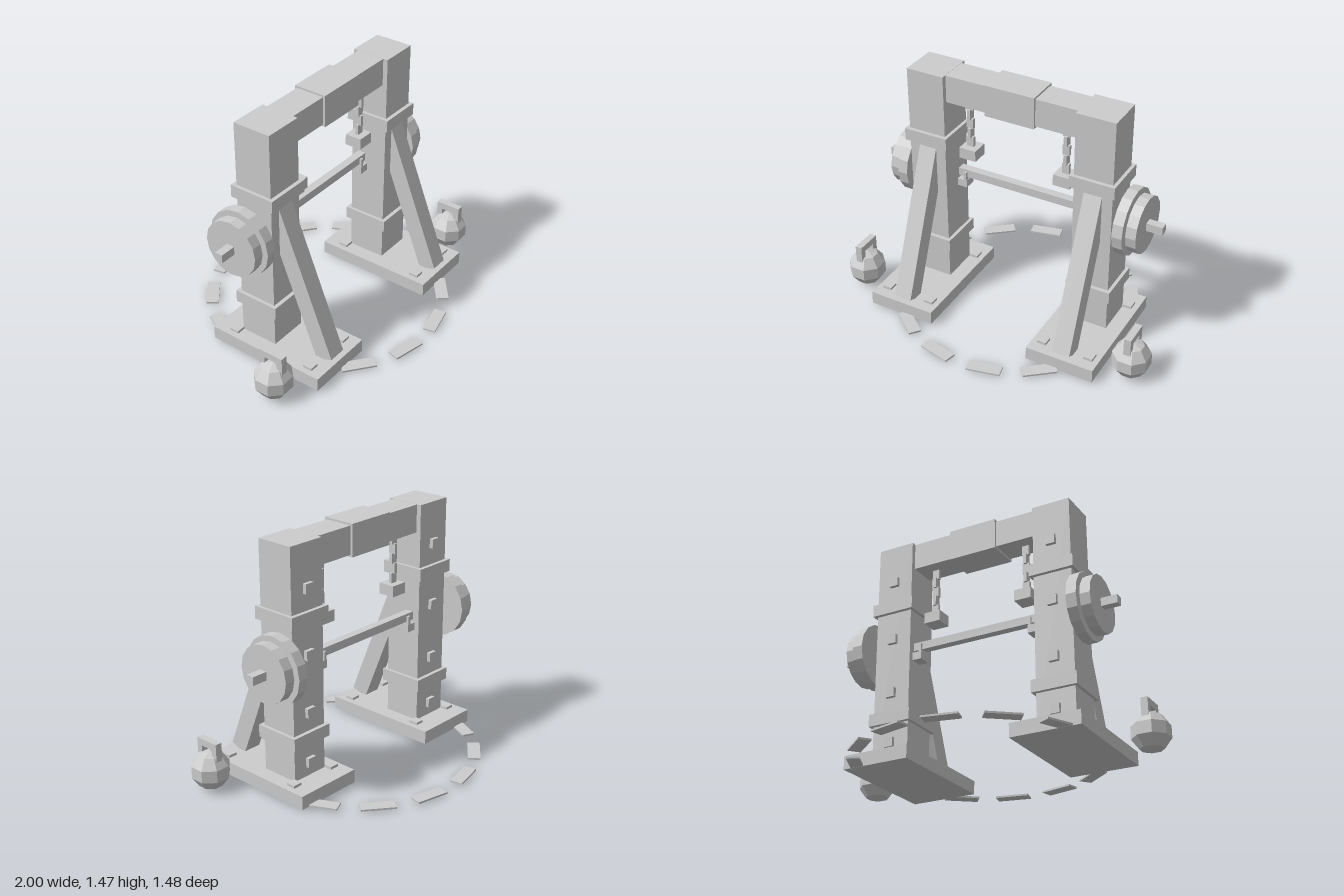
import * as THREE from 'three';

export function createModel() {
  const root = new THREE.Group();
  root.name = 'gymGate';
  const stone = new THREE.MeshStandardMaterial({ color: 0xcccccc, flatShading: true });
  stone.name = 'paleGrey';

  const add = (parent, name, geo, x, y, z) => {
    const m = new THREE.Mesh(geo, stone);
    m.name = name;
    m.position.set(x, y, z);
    parent.add(m);
    return m;
  };
  // box given by its centre and size
  const box = (parent, name, x, y, z, w, h, d) =>
    add(parent, name, new THREE.BoxGeometry(w, h, d), x, y, z);

  // lintel with thicker centre block
  box(root, 'lintel', 0, 1.38, 0, 0.84, 0.168, 0.176);
  box(root, 'lintelBlock', 0, 1.38, 0, 0.31, 0.192, 0.206);

  // square bar running through both columns
  const BAR_Y = 0.774, BAR_Z = -0.048;
  box(root, 'bar', 0, BAR_Y, BAR_Z, 1.79, 0.05, 0.05);

  for (const s of [1, -1]) {
    const side = new THREE.Group();
    side.name = s > 0 ? 'leftSide' : 'rightSide';
    root.add(side);
    const cx = s * 0.53;

    // base plate with corner bolts
    box(side, 'basePlate', cx, 0.05, 0.113, 0.42, 0.082, 0.756);
    for (const dx of [-0.147, 0.147])
      for (const z of [-0.14, 0.393])
        box(side, 'baseBolt', cx + dx, 0.097, z, 0.057, 0.02, 0.057);

    // column, collars and back rivets
    box(side, 'column', cx, 0.777, 0, 0.236, 1.376, 0.236);
    for (const y of [1.045, 0.332])
      box(side, 'collar', cx, y, 0, 0.276, 0.075, 0.284);
    for (const y of [1.214, 0.83, 0.486, 0.178])
      box(side, 'rivet', cx, y, -0.125, 0.057, 0.057, 0.032);

    // slanted brace in front of the column
    const brace = box(side, 'brace', cx, 0.528, 0.243, 0.11, 0.94, 0.111);
    brace.rotation.x = -Math.atan2(0.35, 0.87);

    // weight discs
    for (const [x, r] of [[0.697, 0.202], [0.766, 0.171]]) {
      const disc = add(side, 'weightDisc', new THREE.CylinderGeometry(r, r, 0.062, 16), s * x, BAR_Y, BAR_Z);
      disc.rotation.z = Math.PI / 2;
    }

    // hook holding the bar
    box(side, 'hookShelf', s * 0.382, 0.709, BAR_Z, 0.062, 0.048, 0.08);
    box(side, 'hookLip', s * 0.363, 0.757, BAR_Z, 0.017, 0.055, 0.08);

    // hanging chain of alternating links and its weight
    for (let i = 0; i < 5; i++) {
      const wide = i % 2 === 0;
      box(side, 'chainLink', s * 0.308, 1.266 - i * 0.06, 0, wide ? 0.044 : 0.02, 0.064, wide ? 0.02 : 0.044);
    }
    box(side, 'chainWeight', s * 0.304, 0.961, 0, 0.106, 0.068, 0.106);

    // kettlebell
    const bell = new THREE.Group();
    bell.name = 'kettlebell';
    bell.position.set(s * 0.896, 0, 0.308);
    side.add(bell);
    const ball = add(bell, 'bellBody', new THREE.SphereGeometry(0.118, 8, 5), 0, 0.119, 0);
    ball.rotation.y = Math.PI / 8;
    for (const d of [-1, 1])
      box(bell, 'bellPost', 0, 0.236, d * 0.06, 0.042, 0.1, 0.037);
    box(bell, 'bellGrip', 0, 0.281, 0, 0.042, 0.042, 0.156);
  }

  // ring of ground tiles
  const TILES = 14;
  for (let i = 0; i < TILES; i++) {
    const a = (i + 0.5) * Math.PI * 2 / TILES;
    const tile = box(root, 'groundTile', Math.sin(a) * 0.7, 0.015, Math.cos(a) * 0.7, 0.2, 0.011, 0.075);
    tile.rotation.y = a;
  }
  return root;
}
